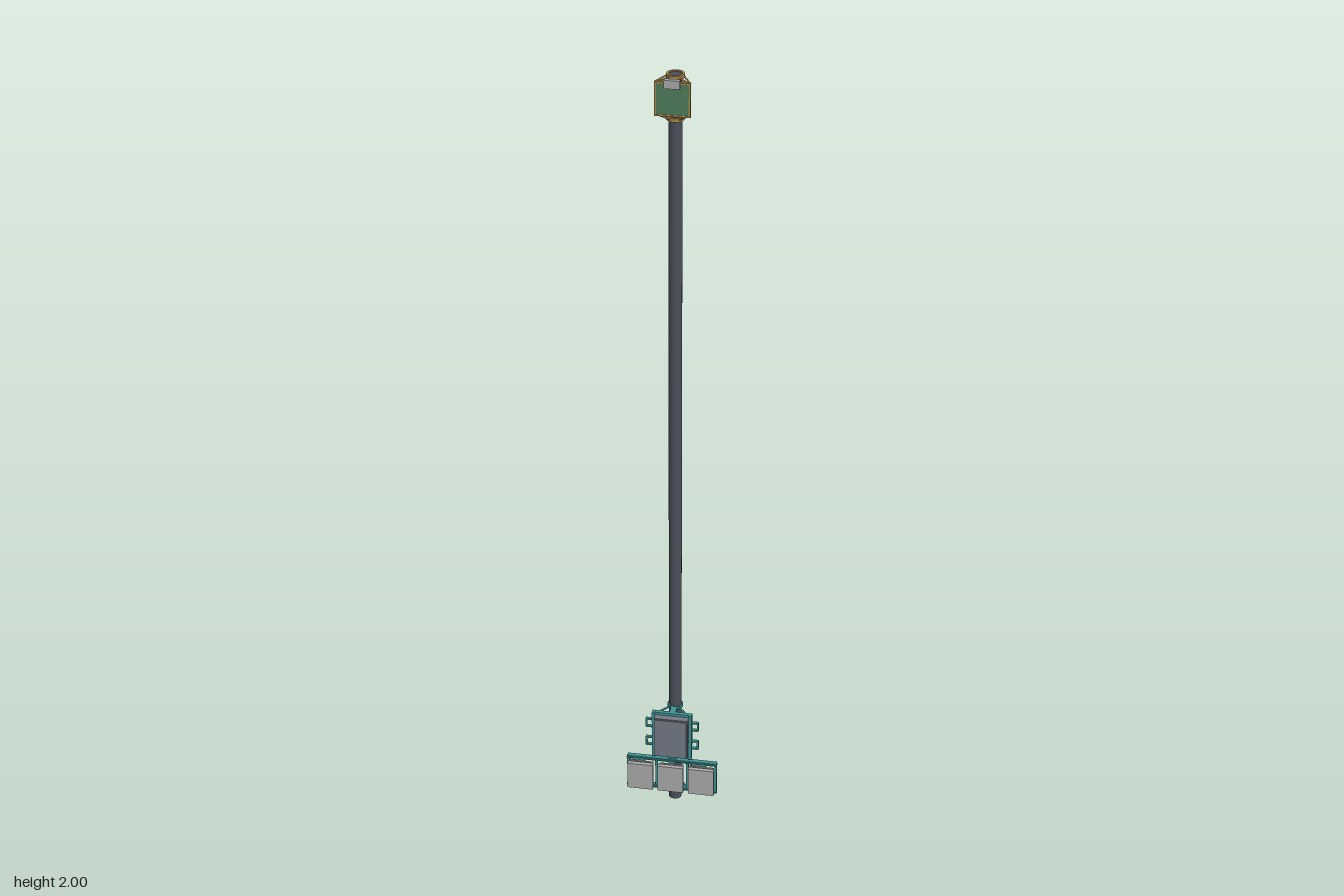
import * as THREE from 'three';

const POLE_Z = -0.028, POLE_R = 0.016;
const paint = (color) => new THREE.MeshStandardMaterial({ color });

export function createModel() {
  const model = new THREE.Group();
  const steel = paint(0x4a4f59), slate = paint(0x747985), pale = paint(0xaaaaac);
  const teal = paint(0x3f9292), brass = paint(0xa8854a), green = paint(0x4f7d5c);

  const group = (name) => {
    const g = new THREE.Group();
    g.name = name;
    model.add(g);
    return g;
  };
  const add = (parent, name, geometry, material, x = 0, y = 0, z = 0) => {
    const mesh = new THREE.Mesh(geometry, material);
    mesh.name = name;
    mesh.position.set(x, y, z);
    parent.add(mesh);
    return mesh;
  };
  // Box given by its limits on each axis
  const box = (parent, name, material, [x0, x1], [y0, y1], [z0, z1]) =>
    add(parent, name, new THREE.BoxGeometry(x1 - x0, y1 - y0, z1 - z0), material,
      (x0 + x1) / 2, (y0 + y1) / 2, (z0 + z1) / 2);
  // Round bar between two points
  const bar = (parent, name, material, a, b, r = 0.002) => {
    const p = new THREE.Vector3(...a), d = new THREE.Vector3(...b).sub(p);
    const mesh = add(parent, name, new THREE.CylinderGeometry(r, r, d.length(), 8), material);
    mesh.position.copy(p).addScaledVector(d, 0.5);
    mesh.quaternion.setFromUnitVectors(new THREE.Vector3(0, 1, 0), d.normalize());
  };
  // Hollow band clamped round the pole
  const collar = (parent, material, y, h, r = 0.021) => {
    const i = POLE_R - 0.0005;
    const ring = [[i, -h / 2], [r, -h / 2], [r, h / 2], [i, h / 2], [i, -h / 2]]
      .map(([a, b]) => new THREE.Vector2(a, b));
    const geometry = new THREE.LatheGeometry(ring, 32).toNonIndexed();
    geometry.computeVertexNormals();
    add(parent, 'poleCollar', geometry, material, 0, y, POLE_Z);
  };

  // Pole
  add(model, 'pole', new THREE.CylinderGeometry(POLE_R, POLE_R, 1.996, 32), steel, 0, 0.998, POLE_Z);

  // Sign panel at the top, on a braced frame
  const head = group('topPanel');
  box(head, 'panel', green, [-0.037, 0.037], [1.914, 1.988], [0.008, 0.012]);
  for (const y of [1.912, 1.99])
    box(head, 'panelEdge', brass, [-0.041, 0.041], [y - 0.002, y + 0.002], [0.006, 0.013]);
  for (const s of [-1, 1]) {
    box(head, 'panelSide', brass, [s * 0.039 - 0.002, s * 0.039 + 0.002], [1.91, 1.992], [0.006, 0.013]);
    bar(head, 'upperStrut', brass, [s * 0.019, 1.993, POLE_Z], [s * 0.04, 1.99, 0.008]);
    bar(head, 'innerStrut', brass, [s * 0.012, 1.993, -0.013], [s * 0.036, 1.99, 0.008]);
    bar(head, 'lowerStrut', brass, [s * 0.019, 1.893, POLE_Z], [s * 0.04, 1.912, 0.008]);
    bar(head, 'lowerInnerStrut', brass, [s * 0.01, 1.893, -0.013], [s * 0.036, 1.912, 0.008]);
    bar(head, 'crossBrace', brass, [s * 0.01, 1.993, -0.012], [s * 0.036, 1.95, 0.007], 0.0015);
  }
  collar(head, brass, 1.994, 0.009);
  collar(head, brass, 1.893, 0.009);
  box(head, 'topUnit', pale, [-0.018, 0.018], [1.98, 2.0], [0.012, 0.023]);

  // Equipment cabinet on a ladder frame
  const cabinet = group('cabinet');
  box(cabinet, 'cabinetBody', slate, [-0.043, 0.043], [0.168, 0.284], [0.02, 0.038]);
  box(cabinet, 'cabinetDoor', slate, [-0.04, 0.04], [0.171, 0.281], [0.038, 0.041]);
  for (const y of [0.164, 0.2, 0.255, 0.287])
    box(cabinet, 'crossRail', teal, [-0.05, 0.05], [y - 0.004, y + 0.004], [0.011, 0.021]);
  for (const s of [-1, 1]) {
    box(cabinet, 'sideRail', teal, [s * 0.047 - 0.004, s * 0.047 + 0.004], [0.158, 0.292], [0.012, 0.026]);
    // Side loops
    for (const y of [0.2, 0.256]) {
      for (const e of [-0.011, 0.011])
        box(cabinet, 'loopArm', teal, [s * 0.058 - 0.009, s * 0.058 + 0.009],
          [y + e - 0.002, y + e + 0.002], [0.013, 0.021]);
      box(cabinet, 'loopEnd', teal, [s * 0.066 - 0.002, s * 0.066 + 0.002], [y - 0.013, y + 0.013], [0.013, 0.021]);
    }
  }
  // Pole mounts behind the cabinet
  for (const y of [0.164, 0.287]) {
    collar(cabinet, teal, y, 0.008, 0.0195);
    for (const s of [-1, 1])
      bar(cabinet, 'cabinetStrut', teal, [s * 0.013, y, -0.015], [s * 0.036, y, 0.013], 0.0025);
    box(cabinet, 'cabinetMount', teal, [-0.008, 0.008], [y - 0.004, y + 0.004], [-0.013, 0.013]);
  }
  box(cabinet, 'linkPlate', teal, [-0.012, 0.012], [0.142, 0.166], [0.013, 0.019]);

  // Row of three flat units on a wide frame
  const row = group('unitRow');
  for (const y of [0.061, 0.146]) {
    box(row, 'longRail', teal, [-0.115, 0.115], [y - 0.004, y + 0.004], [0.012, 0.024]);
    box(row, 'railLip', teal, [-0.117, 0.117], [y - 0.0015, y + 0.0015], [0.015, 0.027]);
    box(row, 'rowMount', teal, [-0.01, 0.01], [y - 0.004, y + 0.004], [-0.013, 0.013]);
    collar(row, teal, y, 0.008, 0.0195);
    for (const s of [-1, 1])
      bar(row, 'rowStrut', teal, [s * 0.013, y, -0.015], [s * 0.04, y, 0.013], 0.0025);
  }
  for (const x of [-0.113, -0.04, 0.04, 0.113])
    box(row, 'upright', teal, [x - 0.003, x + 0.003], [0.06, 0.147], [0.013, 0.023]);
  for (const x of [-0.078, 0, 0.079]) {
    box(row, 'flatUnit', pale, [x - 0.033, x + 0.033], [0.067, 0.143], [0.037, 0.048]);
    box(row, 'backPlate', pale, [x - 0.031, x + 0.031], [0.071, 0.139], [0.025, 0.029]);
    box(row, 'unitMount', slate, [x - 0.012, x + 0.012], [0.092, 0.118], [0.022, 0.038]);
    box(row, 'unitBracket', teal, [x - 0.008, x + 0.008], [0.061, 0.146], [0.014, 0.025]);
  }
  // Rear clips
  for (const x of [-0.101, 0.059]) {
    for (const e of [-0.013, 0.013])
      box(row, 'clipSide', teal, [x + e - 0.002, x + e + 0.002], [0.085, 0.125], [0, 0.013]);
    box(row, 'clipPlate', teal, [x - 0.015, x + 0.015], [0.085, 0.125], [0.003, 0.008]);
  }
  return model;
}
